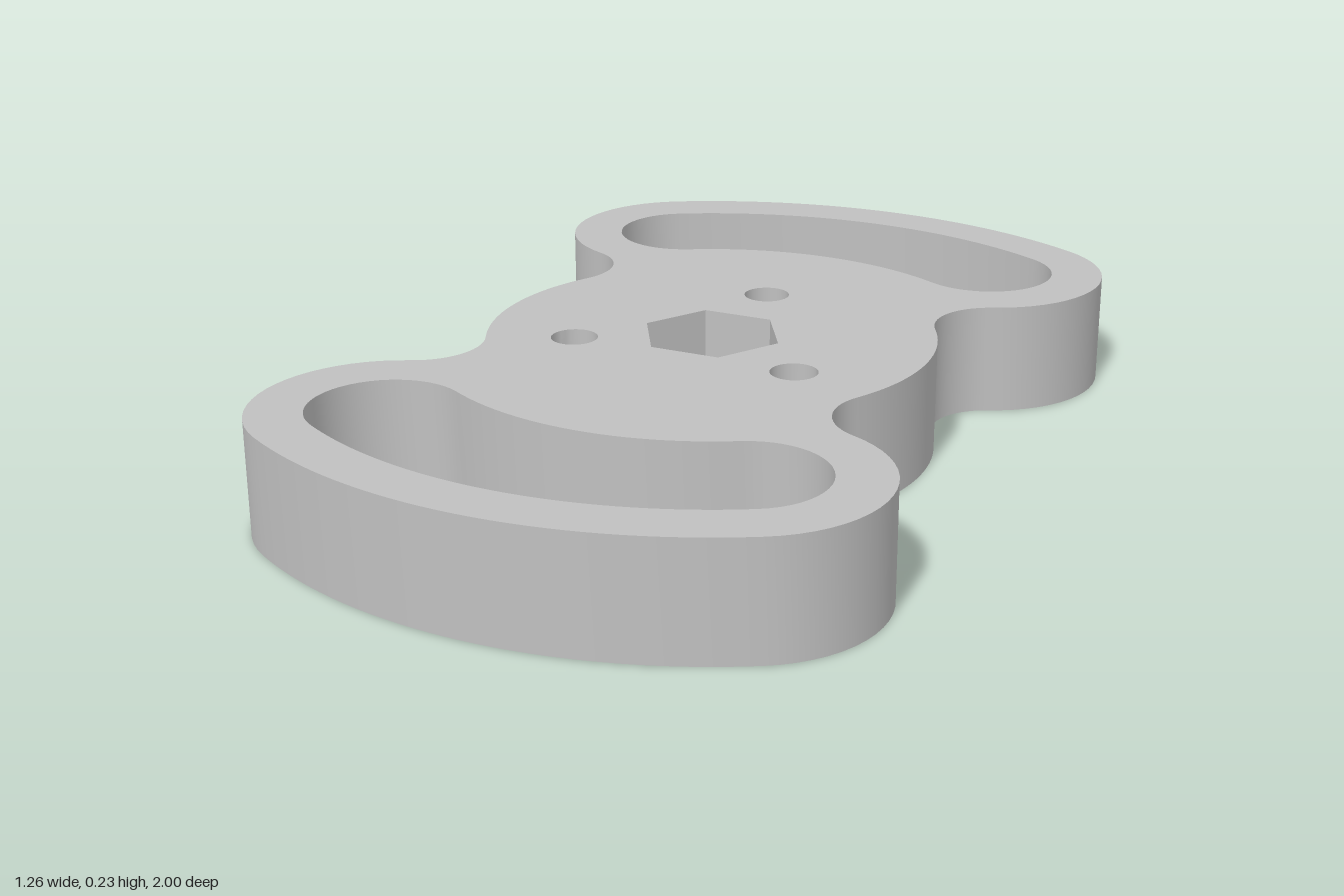
import * as THREE from 'three';
import { toCreasedNormals } from 'three/addons/utils/BufferGeometryUtils.js';

const PI = Math.PI;
const HEIGHT = 0.233;
const BODY_R = 0.46, OUTER_R = 1, LOBE_R = 0.26, FILLET_R = 0.13;
const SLOT_OUT = 0.89, SLOT_IN = 0.59, SLOT_END = 0.15;
const LOBE_DIST = 0.74;

// Points along an arc, leaving out the end point so that arcs chain cleanly
function arc(cx, cy, r, from, to, n) {
  return Array.from({ length: n }, (_, i) => {
    const t = from + (to - from) * i / n;
    return new THREE.Vector2(cx + r * Math.cos(t), cy + r * Math.sin(t));
  });
}

const halfTurn = (points) => points.map((p) => new THREE.Vector2(-p.x, -p.y));

export function createModel() {
  const group = new THREE.Group();
  const grey = new THREE.MeshStandardMaterial({ color: 0xc0c0c0 });
  grey.name = 'light grey';

  // Lobe centre, and the neck fillet centre tangent to body and lobe
  const lx = LOBE_DIST * Math.cos(PI / 3), ly = LOBE_DIST * Math.sin(PI / 3);
  const d1 = BODY_R + FILLET_R, d2 = LOBE_R + FILLET_R;
  const a = PI / 3 - Math.acos((d1 * d1 + LOBE_DIST ** 2 - d2 * d2) / (2 * d1 * LOBE_DIST));
  const fx = d1 * Math.cos(a), fy = d1 * Math.sin(a);
  const b = Math.atan2(fy - ly, fx - lx);

  // Outline: waist, neck, lobe, end arc, lobe, neck; repeated by a half turn
  const half = [
    ...arc(0, 0, BODY_R, -a, a, 20),
    ...arc(fx, fy, FILLET_R, a + PI, b + PI, 14),
    ...arc(lx, ly, LOBE_R, b, PI / 3, 20),
    ...arc(0, 0, OUTER_R, PI / 3, 2 * PI / 3, 32),
    ...arc(-lx, ly, LOBE_R, 2 * PI / 3, PI - b, 20),
    ...arc(-fx, fy, FILLET_R, -b, -a, 14),
  ];
  const shape = new THREE.Shape([...half, ...halfTurn(half)]);

  // Curved slot behind each end arc
  const slot = [
    ...arc(0, 0, SLOT_OUT, PI / 3, 2 * PI / 3, 32),
    ...arc(-lx, ly, SLOT_END, 2 * PI / 3, 5 * PI / 3, 24),
    ...arc(0, 0, SLOT_IN, 2 * PI / 3, PI / 3, 24),
    ...arc(lx, ly, SLOT_END, 4 * PI / 3, 7 * PI / 3, 24),
  ];
  shape.holes.push(new THREE.Path(slot), new THREE.Path(halfTurn(slot)));

  // Hexagonal centre hole and three round holes around it
  shape.holes.push(new THREE.Path(arc(0, 0, 0.148, 0, 2 * PI, 6)));
  for (let i = 0; i < 3; i++) {
    const t = PI / 2 + i * 2 * PI / 3;
    const hole = arc(0.28 * Math.cos(t), 0.28 * Math.sin(t), 0.048, 0, 2 * PI, 28);
    shape.holes.push(new THREE.Path(hole));
  }

  const extruded = new THREE.ExtrudeGeometry(shape, { depth: HEIGHT, bevelEnabled: false });
  extruded.rotateX(-PI / 2);
  const plate = new THREE.Mesh(toCreasedNormals(extruded, 0.5), grey);
  plate.name = 'slottedPlate';
  group.add(plate);
  return group;
}
